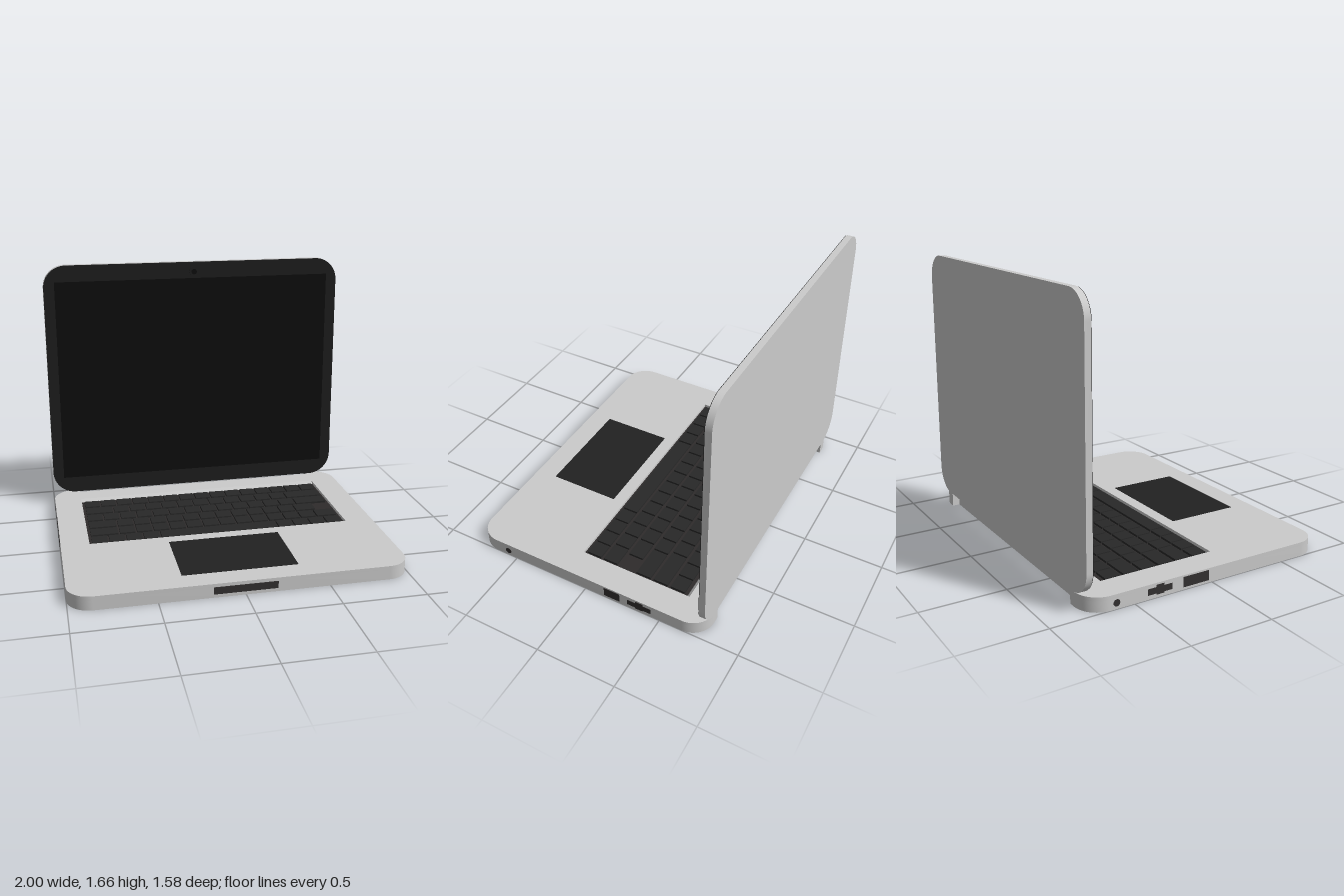
import * as THREE from 'three';
import { toCreasedNormals } from 'three/addons/utils/BufferGeometryUtils.js';

const paint = (color) => new THREE.MeshStandardMaterial({ color });
const grey = paint(0xcccccc);
const bezelMat = paint(0x1e1e1e);
const screenMat = paint(0x0d0d0d);
const wellMat = paint(0x2e2b2b);
const keyMat = paint(0x282828);
const padMat = paint(0x222222);
const portMat = paint(0x333030);

function add(parent, name, geometry, material, x = 0, y = 0, z = 0) {
  const mesh = new THREE.Mesh(geometry, material);
  mesh.name = name;
  mesh.position.set(x, y, z);
  parent.add(mesh);
  return mesh;
}

const box = (w, h, d) => new THREE.BoxGeometry(w, h, d);

// Rounded outline centred on the origin; an optional notch is cut in its +y edge.
function outline(w, h, r, notch) {
  const x = w / 2, y = h / 2, s = new THREE.Shape();
  s.moveTo(-x + r, -y);
  s.lineTo(x - r, -y);
  s.absarc(x - r, -y + r, r, -Math.PI / 2, 0);
  s.lineTo(x, y - r);
  s.absarc(x - r, y - r, r, 0, Math.PI / 2);
  if (notch) {
    s.lineTo(notch.x, y);
    s.lineTo(notch.x, y - notch.depth);
    s.lineTo(-notch.x, y - notch.depth);
    s.lineTo(-notch.x, y);
  }
  s.lineTo(-x + r, y);
  s.absarc(-x + r, y - r, r, Math.PI / 2, Math.PI);
  s.lineTo(-x, -y + r);
  s.absarc(-x + r, -y + r, r, Math.PI, Math.PI * 1.5);
  return s;
}

function extrude(shape, depth) {
  const g = new THREE.ExtrudeGeometry(shape, { depth, bevelEnabled: false, curveSegments: 10 });
  return toCreasedNormals(g, 0.6);
}

function createBase() {
  const base = new THREE.Group();
  base.name = 'base';
  const notch = { x: 0.82, depth: 0.045 };
  const top = 0.085, floor = 0.063;

  // Lower tray and top deck with the keyboard opening
  const tray = outline(2, 1.57, 0.14, notch);
  add(base, 'tray', extrude(tray, floor).rotateX(-Math.PI / 2), grey);
  const deck = outline(2, 1.57, 0.14, notch);
  const well = new THREE.Path();
  well.moveTo(-0.825, 0.605);
  well.lineTo(0.825, 0.605);
  well.lineTo(0.825, -0.12);
  well.lineTo(-0.825, -0.12);
  well.closePath();
  deck.holes.push(well);
  add(base, 'deck', extrude(deck, top - floor).rotateX(-Math.PI / 2), grey, 0, floor);

  // Keyboard bed with a sloped strip behind it
  add(base, 'keyboardBed', box(1.65, 0.004, 0.705), wellMat, 0, floor + 0.002, -0.2325);
  const strip = new THREE.PlaneGeometry(1.65, 0.03).rotateX(-Math.PI / 4);
  add(base, 'keyboardBackSlope', strip, grey, 0, 0.075, -0.595);

  // Key widths of each row, in key units
  const ones = (n) => Array(n).fill(1);
  const rows = [
    ones(15),
    [1.7, ...ones(11), 2.3],
    [...ones(13), 2],
    [1.7, ...ones(11), 1.3],
    [1.7, ...ones(12), 1.3],
    [...ones(4), 7, ...ones(4)],
  ];
  const pitch = 0.1083, gap = 0.012;
  const keyboard = new THREE.Group();
  keyboard.name = 'keyboard';
  rows.forEach((row, i) => {
    let x = -0.812;
    for (const units of row) {
      const w = units * pitch;
      add(keyboard, 'key', box(w - gap, 0.014, 0.094), keyMat, x + w / 2, 0.073, -0.517 + i * 0.1145);
      x += w;
    }
  });
  base.add(keyboard);

  // Trackpad and front latch
  add(base, 'trackpad', box(0.692, 0.004, 0.452), padMat, 0, 0.0845, 0.423);
  add(base, 'frontLatch', box(0.374, 0.043, 0.01), portMat, 0, 0.043, 0.784);

  // Side ports
  const roundPort = (x, z) =>
    add(base, 'roundPort', new THREE.CylinderGeometry(0.02, 0.02, 0.006, 20).rotateZ(Math.PI / 2), portMat, x, 0.036, z);
  const widePort = (x, z, w) => add(base, 'widePort', box(0.006, 0.06, w), portMat, x, 0.045, z);
  const steppedPort = (x, z) => {
    add(base, 'steppedPort', box(0.006, 0.036, 0.156), portMat, x, 0.043, z);
    add(base, 'steppedPortCentre', box(0.0064, 0.056, 0.05), portMat, x, 0.046, z);
  };
  roundPort(0.999, 0.56);
  widePort(0.999, -0.183, 0.105);
  steppedPort(0.999, -0.367);
  roundPort(-0.999, -0.61);
  steppedPort(-0.999, -0.34);
  widePort(-0.999, -0.105, 0.17);
  return base;
}

function createLid() {
  const lid = new THREE.Group();
  lid.name = 'lid';
  const midY = 0.876, back = -0.788, front = -0.75;
  add(lid, 'lidShell', extrude(outline(2, 1.578, 0.15), front - back), grey, 0, midY, back);
  add(lid, 'bezel', extrude(outline(1.998, 1.576, 0.149), 0.003), bezelMat, 0, midY, front);
  add(lid, 'screen', box(1.856, 1.36, 0.004), screenMat, 0, 0.876, front + 0.003);

  // Webcam
  const disc = (r, d) => new THREE.CylinderGeometry(r, r, d, 24).rotateX(Math.PI / 2);
  add(lid, 'webcamRing', disc(0.034, 0.012), bezelMat, 0, 1.6, front + 0.006);
  add(lid, 'webcamLens', disc(0.018, 0.003), screenMat, 0, 1.6, front + 0.012);
  return lid;
}

export function createModel() {
  const model = new THREE.Group();
  model.name = 'laptop';
  model.add(createBase(), createLid());
  return model;
}
